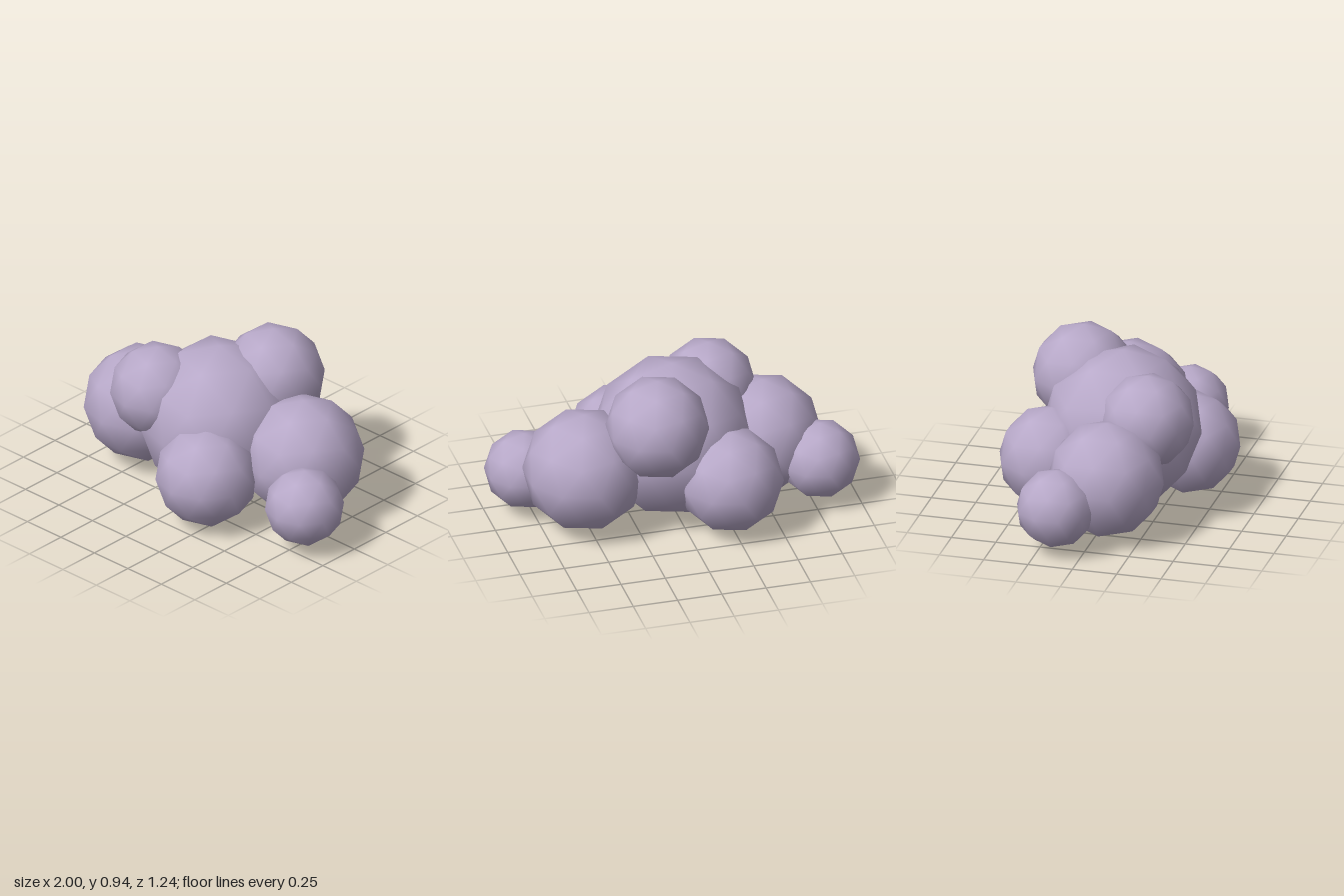
import * as THREE from 'three';

// Coarse, smooth-shaded ball with a corner at the top and another leaning to +x
function ballGeometry() {
  const geometry = new THREE.IcosahedronGeometry(1, 1);
  geometry.rotateX(-Math.atan((1 + Math.sqrt(5)) / 2));
  geometry.rotateY(Math.PI / 2);
  return geometry;
}

export function createModel() {
  const group = new THREE.Group();
  group.name = 'cloud';

  const lavender = new THREE.MeshStandardMaterial({ color: 0xb8a9c9 });
  lavender.name = 'lavender';
  const ball = ballGeometry();

  // Overlapping puffs: name, x, y, z, radius
  const puffs = [
    ['mainPuff', 0, 0.449, 0.012, 0.444],
    ['leftPuff', 0.526, 0.371, -0.097, 0.339],
    ['rightPuff', -0.526, 0.356, 0.062, 0.324],
    ['frontPuff', 0.21, 0.299, 0.332, 0.284],
    ['backPuff', -0.236, 0.318, -0.328, 0.291],
    ['topBackPuff', 0.156, 0.663, -0.252, 0.286],
    ['topFrontPuff', -0.263, 0.607, 0.221, 0.262],
    ['leftEndPuff', 0.79, 0.265, 0.173, 0.219],
    ['rightEndPuff', -0.79, 0.266, -0.15, 0.219],
  ];
  for (const [name, x, y, z, radius] of puffs) {
    const puff = new THREE.Mesh(ball, lavender);
    puff.name = name;
    puff.position.set(x, y, z);
    puff.scale.setScalar(radius);
    group.add(puff);
  }
  return group;
}
